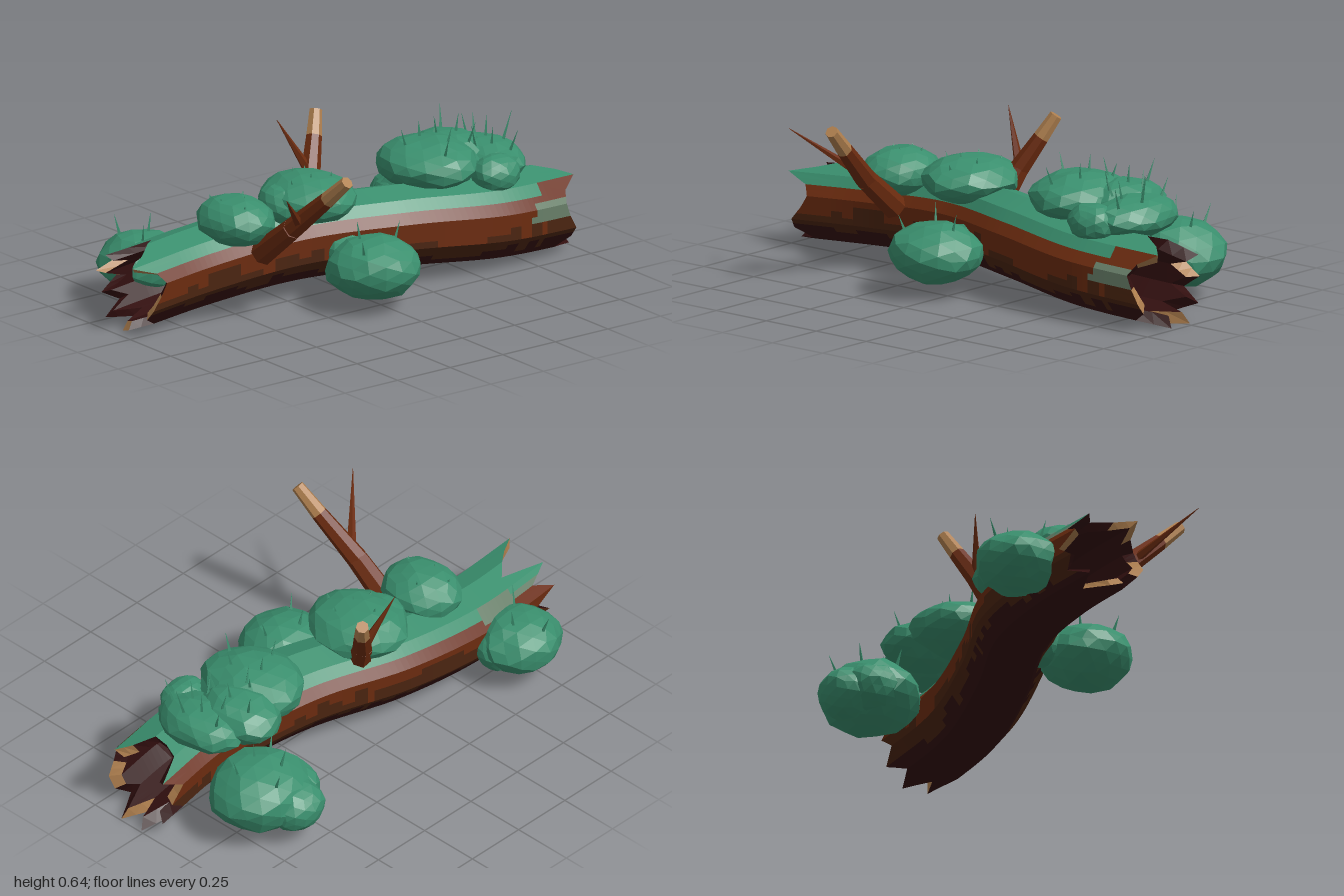
import * as THREE from 'three';
import { mergeGeometries } from 'three/addons/utils/BufferGeometryUtils.js';

const mat = (name, color) => {
  const m = new THREE.MeshStandardMaterial({ color, flatShading: true });
  m.name = name;
  return m;
};
const V = (x, y, z) => new THREE.Vector3(x, y, z);
const hash = (a, b = 0, c = 0) => {
  const s = Math.sin(a * 127.1 + b * 311.7 + c * 74.7) * 43758.5453;
  return s - Math.floor(s);
};

export function createModel() {
  const M = {
    moss: mat('moss green', 0x3a8f6e),
    bark: mat('red brown bark', 0x6b2b0f),
    darkBark: mat('dark brown bark', 0x4a2410),
    rot: mat('dark maroon rot', 0x320f0f),
    wood: mat('tan wood', 0xb0804f),
    lichen: mat('grey green lichen', 0x677e68),
  };
  const model = new THREE.Group();
  model.name = 'mossyLog';
  const add = (name, geo, material, parent = model) => {
    const mesh = new THREE.Mesh(geo, material);
    mesh.name = name;
    parent.add(mesh);
  };

  // Hollow log: ten-sided tube, slightly wider than tall, along a gently bent centre line
  const spine = new THREE.CatmullRomCurve3([
    V(-1, 0.165, -0.08), V(-0.6, 0.185, -0.12), V(-0.2, 0.212, -0.09),
    V(0.2, 0.218, 0.03), V(0.6, 0.19, 0.095), V(1, 0.165, 0.06)]);
  const SIDES = 40, RINGS = 64;
  const point = (x, i, r) => {
    const a = (i / SIDES) * Math.PI * 2;
    const facet = Math.PI / 5;
    const local = (((a % facet) + facet) % facet) - facet / 2;
    const k = r * Math.cos(facet / 2) / Math.cos(local);
    const c = spine.getPoint(THREE.MathUtils.clamp((x + 1) / 2, 0, 1));
    return V(x, c.y + k * Math.cos(a), c.z + 1.07 * k * Math.sin(a));
  };
  // Splintered ends: reach of the wall every 18 degrees, from the underside round the back to the front
  const leftReach = [0.97, 0.86, 0.98, 0.88, 0.95, 0.87, 0.98, 0.88, 0.98, 0.78,
    0.84, 0.91, 1, 0.9, 0.87, 0.9, 0.94, 0.95, 0.89, 0.98];
  const rightReach = [0.88, 1, 0.88, 0.97, 0.88, 0.95, 0.88, 0.97, 0.86, 0.845,
    0.85, 0.93, 0.98, 0.91, 0.89, 0.91, 0.94, 0.94, 0.88, 1];
  const reach = (table, i) => {
    const p = (i + SIDES / 2) / 2, k = Math.floor(p);
    return THREE.MathUtils.lerp(table[k % 20], table[(k + 1) % 20], p - k);
  };
  // Rings stand at fixed x, except the first and last, which follow the splinters
  const ringX = (s, i) => {
    if (s === 0) return -reach(leftReach, i);
    if (s === RINGS) return reach(rightReach, i);
    return THREE.MathUtils.lerp(-0.76, 0.84, (s - 1) / (RINGS - 2));
  };
  const radius = (x) => 0.16 + 0.008 * x;

  // Bark colour by angle from the top, with blotchy borders
  const skin = (x, i) => {
    const deg = (i + 0.5) * 9, a = Math.abs(deg);
    const ragged = (hash(Math.floor(x / 0.05), Math.sign(deg)) - 0.5) * 30;
    if (x > 0.7 + (92 - deg) * 0.002 && x < 0.88 && deg > 63 && deg < 92) return 'lichen';
    if (x > -0.84 && x < -0.58 && deg < -40 && deg > -66) return 'lichen';
    if (x > 0.8 && deg > 36 && deg < 63) return 'bark';
    if (a < 54) return 'moss';
    if (a < 95 + ragged) return 'bark';
    return a < 126 + ragged * 0.6 ? 'darkBark' : 'rot';
  };
  const faces = {};
  const quad = (key, a, b, c, d) => {
    const list = (faces[key] ??= []);
    for (const p of [a, b, c, a, c, d]) list.push(p.x, p.y, p.z);
  };
  const tanFacets = [1, 3, 5, -2, -5];
  for (let i = -SIDES / 2; i < SIDES / 2; i++) {
    const outer = (j, s) => { const x = ringX(s, j); return point(x, j, radius(x)); };
    const inner = (j, s) => {
      const inset = s === 0 ? 0.025 : s === RINGS ? -0.025 : 0;
      return point(ringX(s, j) + inset, j, 0.122);
    };
    for (let s = 0; s < RINGS; s++) {
      const mid = (ringX(s, i) + ringX(s + 1, i)) / 2;
      quad(skin(mid, i), outer(i, s), outer(i + 1, s), outer(i + 1, s + 1), outer(i, s + 1));
      quad('hollow', inner(i, s + 1), inner(i + 1, s + 1), inner(i + 1, s), inner(i, s));
    }
    // Broken rim, bare wood on some facets
    const rim = tanFacets.includes(Math.floor((i + 2) / 4)) ? 'wood' : 'rot';
    quad(rim, inner(i, RINGS), outer(i, RINGS), outer(i + 1, RINGS), inner(i + 1, RINGS));
    quad(rim, inner(i + 1, 0), outer(i + 1, 0), outer(i, 0), inner(i, 0));
  }
  const log = new THREE.Group();
  log.name = 'log';
  model.add(log);
  const partNames = { moss: 'mossStrip', bark: 'upperBark', darkBark: 'lowerBark', rot: 'underside',
    wood: 'splinteredRim', lichen: 'lichenPatches', hollow: 'hollowInside' };
  for (const [key, list] of Object.entries(faces)) {
    const g = new THREE.BufferGeometry();
    g.setAttribute('position', new THREE.Float32BufferAttribute(list, 3));
    g.computeVertexNormals();
    add(partNames[key], g, M[key] ?? M.rot, log);
  }

  // Tapered rod between two points
  const rod = (a, b, r0, r1, sides) => {
    const d = b.clone().sub(a);
    const g = new THREE.CylinderGeometry(r1, r0, d.length(), sides);
    g.applyQuaternion(new THREE.Quaternion().setFromUnitVectors(V(0, 1, 0), d.normalize()));
    const c = a.clone().lerp(b, 0.5);
    return g.translate(c.x, c.y, c.z);
  };
  // Broken branches: two bark lengths, a bare tip and a thin twig
  const branch = (name, pts, radii, twig) => {
    const g = new THREE.Group();
    g.name = name;
    model.add(g);
    add('lowerBranch', rod(pts[0], pts[1], radii[0], radii[1], 7), M.bark, g);
    add('upperBranch', rod(pts[1], pts[2], radii[1], radii[2], 7), M.bark, g);
    add('bareTip', rod(pts[2], pts[3], radii[2], radii[3], 7), M.wood, g);
    add('twig', rod(twig[0], twig[1], 0.02, 0.001, 5), M.bark, g);
  };
  branch('frontBranch',
    [V(-0.425, 0.25, 0.07), V(-0.415, 0.39, 0.245), V(-0.377, 0.54, 0.41), V(-0.357, 0.63, 0.505)],
    [0.05, 0.042, 0.032, 0.025],
    [V(-0.415, 0.42, 0.28), V(-0.61, 0.595, 0.46)]);
  branch('backBranch',
    [V(-0.05, 0.3, -0.11), V(-0.01, 0.42, -0.172), V(0.05, 0.54, -0.228), V(0.09, 0.625, -0.268)],
    [0.05, 0.039, 0.031, 0.025],
    [V(-0.02, 0.44, -0.18), V(-0.12, 0.635, -0.235)]);

  // Moss clumps: squashed lumpy balls with grass spikes
  const clump = (seed, [x, y, z, rx, ry, rz, spikes = 0, height = 0]) => {
    const ball = new THREE.IcosahedronGeometry(1, 2);
    const p = ball.attributes.position;
    for (let i = 0; i < p.count; i++) {
      const v = V(0, 0, 0).fromBufferAttribute(p, i);
      const q = v.toArray().map((n) => Math.round(n * 50));
      v.multiplyScalar(0.96 + 0.09 * hash(q[0] + seed, q[1], q[2]));
      p.setXYZ(i, x + v.x * rx, y + v.y * ry, z + v.z * rz);
    }
    const parts = [ball];
    for (let k = 0; k < spikes; k++) {
      const a = k * 2.4 + seed, d = 0.7 * Math.sqrt((k + 0.5) / spikes);
      const u = Math.cos(a) * d, w = Math.sin(a) * d;
      const base = V(x + u * rx, y + ry * Math.sqrt(1 - d * d) - 0.012, z + w * rz);
      const h = height * (0.6 + 0.4 * hash(seed, k));
      const tip = base.clone().add(V(u * h * 0.6, h, w * h * 0.6));
      parts.push(rod(base, tip, 0.008, 0.0005, 4).toNonIndexed());
    }
    return mergeGeometries(parts);
  };
  // Each lobe: centre, radii, spike count and height
  const clumps = {
    topLeftMoss: [[-0.475, 0.365, -0.03, 0.14, 0.093, 0.165, 5, 0.03]],
    topMiddleMoss: [[-0.13, 0.39, -0.03, 0.178, 0.09, 0.2, 6, 0.03], [-0.23, 0.375, -0.04, 0.1, 0.08, 0.12]],
    frontMoss: [[-0.045, 0.17, 0.265, 0.187, 0.118, 0.178, 3, 0.08], [-0.03, 0.185, 0.08, 0.1, 0.075, 0.09]],
    backLeftMoss: [[-0.69, 0.17, -0.335, 0.168, 0.112, 0.16, 3, 0.09], [-0.6, 0.16, -0.31, 0.085, 0.08, 0.09]],
    backRightMoss: [[0.66, 0.185, -0.29, 0.208, 0.135, 0.19, 5, 0.09], [0.61, 0.155, -0.42, 0.12, 0.095, 0.105],
      [0.55, 0.17, -0.34, 0.11, 0.09, 0.11]],
    topRightMoss: [[0.43, 0.415, -0.02, 0.19, 0.095, 0.21, 5, 0.08], [0.7, 0.38, -0.02, 0.135, 0.08, 0.19, 7, 0.12],
      [0.58, 0.4, -0.1, 0.14, 0.09, 0.17, 4, 0.1], [0.63, 0.37, 0.14, 0.1, 0.075, 0.085]],
  };
  let seed = 1;
  for (const [name, lobes] of Object.entries(clumps))
    add(name, mergeGeometries(lobes.map((lobe) => clump(seed++, lobe))), M.moss);

  return model;
}
